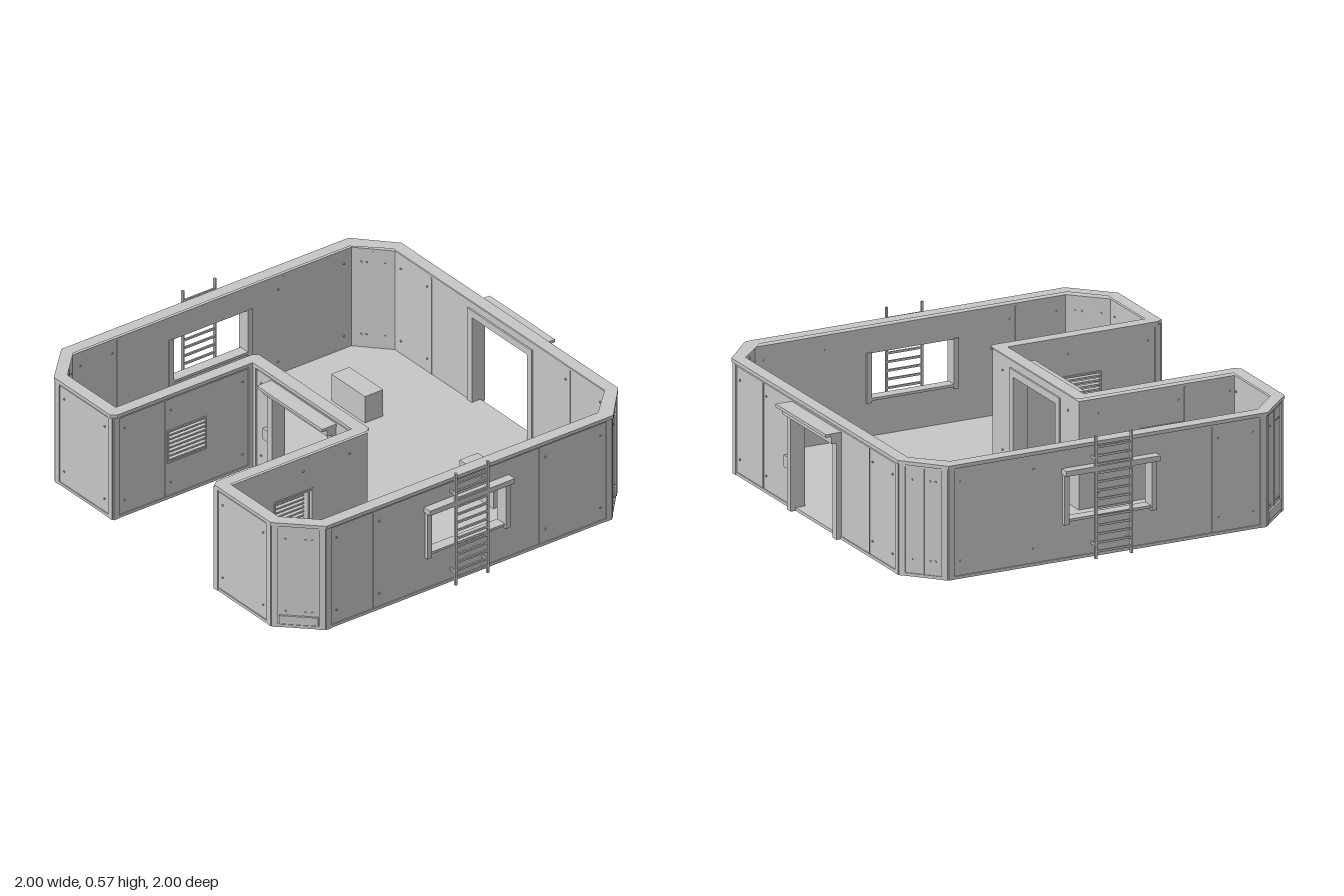
import * as THREE from 'three';

const H = 0.52, T = 0.04, FLOOR = 0.015;

export function createModel() {
  const model = new THREE.Group();
  model.name = 'guardPost';
  const grey = new THREE.MeshStandardMaterial({ color: 0xc6c6c6 });
  grey.name = 'concreteGrey';

  const add = (parent, geo, name) => {
    const m = new THREE.Mesh(geo, grey);
    m.name = name;
    parent.add(m);
    return m;
  };
  // box given by its limits on each axis
  const block = (parent, name, x0, x1, y0, y1, z0, z1) =>
    add(parent, new THREE.BoxGeometry(x1 - x0, y1 - y0, z1 - z0), name)
      .position.set((x0 + x1) / 2, (y0 + y1) / 2, (z0 + z1) / 2);

  const toShape = pts => new THREE.Shape(pts.map(p => new THREE.Vector2(p[0], p[1])));
  // mirrors the right half of a plan (x, z) to a full U-shaped outline
  const mirrored = half => [...half, ...half.slice().reverse().map(([x, z]) => [-x, z])];
  // horizontal slab from a plan outline
  const slab = (shape, top, thick, name) => {
    const g = new THREE.ExtrudeGeometry(shape, { depth: thick, bevelEnabled: false });
    g.rotateX(Math.PI / 2);
    add(model, g, name).position.y = top;
  };

  const plan = mirrored([[0.37, 0.21], [0.37, 0.985], [0.785, 0.985], [0.953, 0.815],
    [0.953, -0.765], [0.785, -0.92]]);
  const capOuter = mirrored([[0.36, 0.22], [0.36, 0.97], [0.38, 0.995], [0.79, 0.995],
    [0.965, 0.82], [0.965, -0.77], [0.79, -0.93]]);
  const capInner = mirrored([[0.40, 0.155], [0.418, 0.18], [0.418, 0.935], [0.77, 0.935],
    [0.905, 0.80], [0.905, -0.73], [0.77, -0.87]]);

  // floor and wall cap
  slab(toShape(plan), FLOOR, FLOOR, 'floor');
  const cap = toShape(capOuter);
  cap.holes.push(toShape(capInner));
  slab(cap, 0.535, 0.017, 'wallCap');

  // fittings: u runs along a wall, z is outward from its face
  function door(g, a, b) {
    for (const s of [a - 0.035, b]) block(g, 'doorJamb', s, s + 0.035, 0, 0.45, -T - 0.008, 0.025);
    block(g, 'doorLintel', a - 0.035, b + 0.035, 0.45, 0.485, -T - 0.008, 0.05);
    block(g, 'doorAwning', a - 0.038, b + 0.038, 0.485, 0.499, 0, 0.08);
    block(g, 'doorControlBox', a - 0.08, a - 0.038, 0.185, 0.24, 0, 0.018);
  }

  function sideWindow(g, a, b) {
    for (const s of [a - 0.025, b]) block(g, 'windowJamb', s, s + 0.025, 0.17, 0.405, -T - 0.006, 0.018);
    block(g, 'windowSill', a, b, 0.18, 0.192, -T - 0.006, 0.008);
    block(g, 'windowHood', a - 0.03, b + 0.03, 0.405, 0.43, 0, 0.044);
  }

  function ladder(g, a, b) {
    for (const u of [a, b]) {
      block(g, 'ladderRail', u - 0.005, u + 0.005, 0, 0.572, 0.034, 0.046);
      for (const y of [0.06, 0.46]) block(g, 'ladderBracket', u - 0.004, u + 0.004, y, y + 0.01, 0, 0.036);
    }
    for (let i = 0; i < 13; i++) {
      const y = 0.033 + i * 0.0405;
      block(g, 'ladderRung', a, b, y - 0.005, y + 0.005, 0.036, 0.044);
    }
  }

  function louvre(g, a, b) {
    for (const u of [a - 0.008, b]) block(g, 'louvreFrame', u, u + 0.008, 0.182, 0.348, -T - 0.004, 0.006);
    for (const y of [0.182, 0.34]) block(g, 'louvreFrame', a, b, y, y + 0.008, -T - 0.004, 0.006);
    for (let i = 0; i < 7; i++) {
      const y = 0.204 + i * 0.021;
      block(g, 'louvreBar', a, b, y - 0.004, y + 0.004, -0.012, 0.014);
    }
  }

  // wall between two plan points; opening = [a, b, y0, y1] measured along it
  function wall(p, q, name, opening, seams) {
    const dx = q[0] - p[0], dz = q[1] - p[1], len = Math.hypot(dx, dz);
    const g = new THREE.Group();
    g.name = name;
    g.position.set(p[0], 0, p[1]);
    g.rotation.y = Math.atan2(-dz, dx);
    model.add(g);

    const shape = toShape([[0, 0], [len, 0], [len, H], [0, H]]);
    if (opening) {
      const [a, b, y0, y1] = opening;
      shape.holes.push(toShape([[a, y0], [a, y1], [b, y1], [b, y0]]));
    }
    const geo = new THREE.ExtrudeGeometry(shape, { depth: T, bevelEnabled: false });
    geo.translate(0, 0, -T);
    add(g, geo, 'wallPanel');

    // corner posts, upper and lower trim
    for (const u of [0, len - 0.028]) block(g, 'cornerPost', u, u + 0.028, 0, H, -0.01, 0.007);
    block(g, 'upperTrim', 0.028, len - 0.028, 0.508, H, -0.01, 0.005);
    const gaps = opening && opening[2] < 0.05
      ? [[0.028, opening[0]], [opening[1], len - 0.028]] : [[0.028, len - 0.028]];
    for (const [a, b] of gaps) block(g, 'lowerTrim', a, b, 0, 0.014, -0.01, 0.005);

    // panel seams and bolts on both faces
    for (const s of seams) {
      block(g, 'panelSeam', s - 0.003, s + 0.003, 0.014, 0.508, -T - 0.003, 0.003);
    }
    for (const u of [0.06, ...seams.map(s => s + 0.03), len - 0.06]) {
      for (const y of [0.08, 0.45]) {
        const bolt = add(g, new THREE.CylinderGeometry(0.005, 0.005, T + 0.01, 6), 'wallBolt');
        bolt.rotation.x = Math.PI / 2;
        bolt.position.set(u, y, -T / 2);
      }
    }
    return g;
  }

  // distances along a straight wall for two world coordinates
  const span = (start, a, b) => [Math.abs(a - start), Math.abs(b - start)].sort((m, n) => m - n);

  plan.forEach((p, i) => {
    const q = plan[(i + 1) % plan.length];
    const alongX = p[1] === q[1], alongZ = p[0] === q[0];
    const len = Math.hypot(q[0] - p[0], q[1] - p[1]);
    if (alongX && p[1] < 0.5) {
      // door walls, back and recess
      const [a, b] = span(p[0], -0.2, 0.2);
      const back = p[1] < 0;
      door(wall(p, q, back ? 'backWall' : 'recessWall', [a, b, FLOOR, 0.45],
        back ? [0.28, len - 0.28] : []), a, b);
    } else if (alongX) {
      wall(p, q, 'frontWall', null, []);
    } else if (alongZ && Math.abs(p[0]) > 0.9) {
      // outer side walls with window and ladder
      const [a, b] = span(p[1], -0.17, 0.24);
      const g = wall(p, q, 'sideWall', [a, b, 0.19, 0.4], [...span(p[1], -0.37, 0.55)]);
      sideWindow(g, a, b);
      ladder(g, ...span(p[1], -0.052, 0.125));
    } else if (alongZ) {
      // inner leg walls with louvred windows
      const [a, b] = span(p[1], 0.48, 0.68);
      louvre(wall(p, q, 'innerLegWall', [a, b, 0.19, 0.34], [len / 2 - 0.1]), a, b);
    } else {
      // chamfered corners, with a kick plate at the front
      const g = wall(p, q, 'chamferWall', null, [len / 2]);
      if (p[1] > 0) block(g, 'kickPlate', 0.032, len - 0.032, 0.018, 0.06, 0, 0.009);
    }
  });

  // recess corner columns and interior consoles
  for (const s of [-1, 1]) {
    const cx = s * 0.39;
    block(model, 'cornerColumn', cx - 0.02, cx + 0.02, 0, H, 0.17, 0.21);
    const bx = s * 0.467;
    block(model, 'console', bx - 0.123, bx + 0.123, FLOOR, 0.15, -0.49, -0.39);
  }
  block(model, 'controlPlate', 0.465, 0.545, 0.15, 0.156, -0.437, -0.397);
  for (let i = 0; i < 3; i++) {
    add(model, new THREE.CylinderGeometry(0.009, 0.009, 0.012, 12), 'controlKnob')
      .position.set(0.482 + i * 0.024, 0.16, -0.417);
  }
  return model;
}
